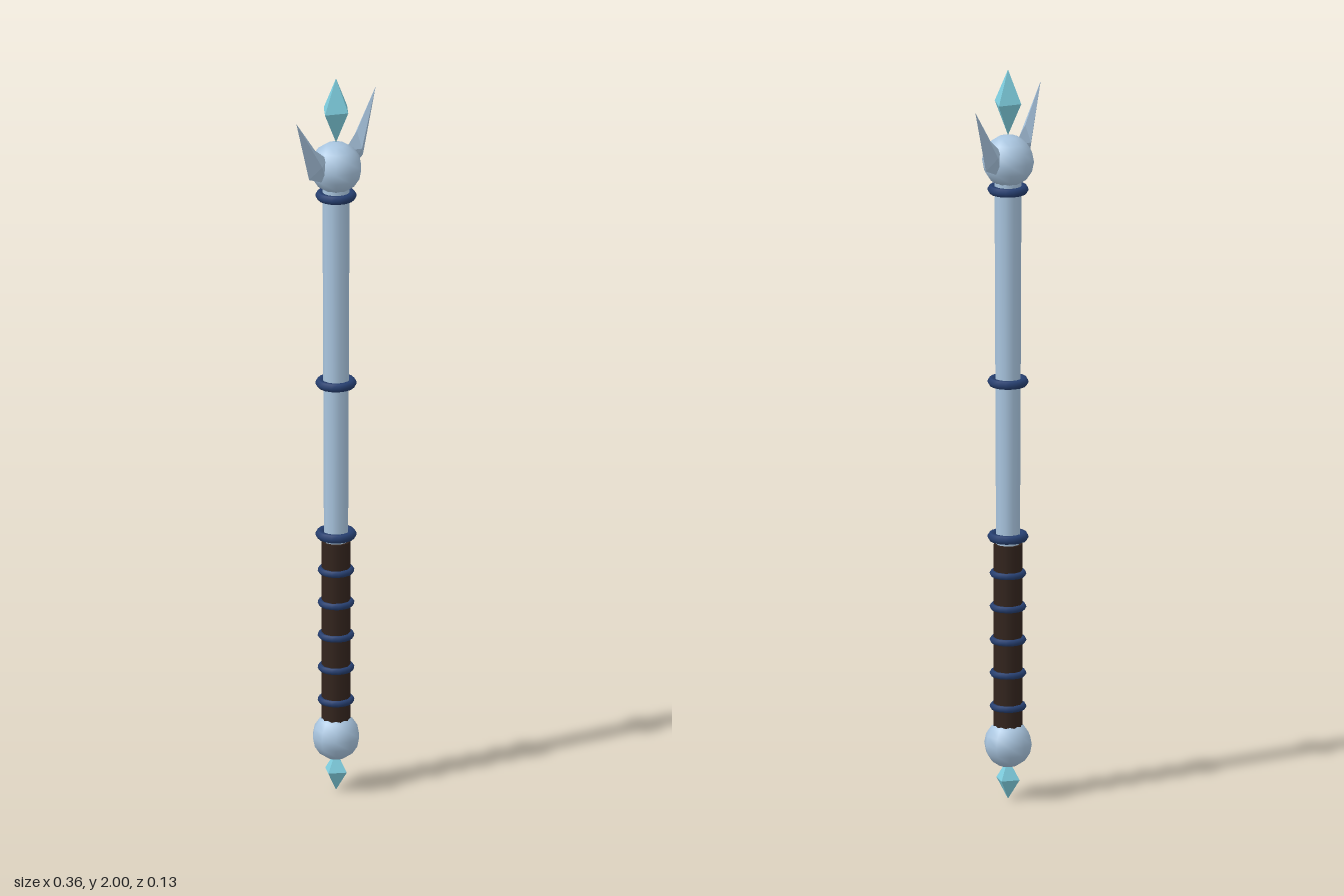
import * as THREE from 'three';

const mat = (color, extra = {}) => new THREE.MeshStandardMaterial({ color, ...extra });

export function createModel() {
  const group = new THREE.Group();
  const steel = mat(0xa9c5df);
  const steelFlat = mat(0xa9c5df, { flatShading: true });
  const leather = mat(0x33241d);
  const navy = mat(0x263f70);
  const crystal = mat(0x7fcfe0, { flatShading: true });

  const add = (name, geometry, material, y = 0) => {
    const mesh = new THREE.Mesh(geometry, material);
    mesh.name = name;
    mesh.position.y = y;
    group.add(mesh);
    return mesh;
  };

  // Shaft, slightly wider at the top, and leather grip
  add('shaft', new THREE.CylinderGeometry(0.036, 0.032, 1.0, 10), steel, 1.2);
  add('grip', new THREE.CylinderGeometry(0.038, 0.038, 0.5, 10), leather, 0.45);

  // Rings around the shaft and the grip
  const ring = (name, y, radius, tube) => {
    add(name, new THREE.TorusGeometry(radius, tube, 6, 16).rotateX(Math.PI / 2), navy, y);
  };
  [0.72, 1.145, 1.672].forEach((y) => ring('shaftRing', y, 0.043, 0.012));
  for (let i = 0; i < 5; i++) ring('gripRing', 0.255 + i * 0.091, 0.04, 0.009);

  // Head and pommel balls
  add('headBall', new THREE.SphereGeometry(0.07, 10, 8), steel, 1.75);
  add('pommelBall', new THREE.SphereGeometry(0.064, 10, 8), steel, 0.152);

  // Crystals: stretched octahedra
  add('topCrystal', new THREE.OctahedronGeometry(1).scale(0.05, 0.09, 0.04), crystal, 1.91);
  add('pommelCrystal', new THREE.OctahedronGeometry(1).scale(0.035, 0.055, 0.035), crystal, 0.055);

  // Wing blades: a flat outline fanned to a raised point on both faces
  const outline = [[0.04, 1.716], [0.122, 1.75], [0.18, 1.925], [0.095, 1.825], [0.04, 1.785]];
  const ridge = [0.09, 1.78];
  for (const side of [1, -1]) {
    const positions = [];
    outline.forEach((a, i) => {
      const b = outline[(i + 1) % outline.length];
      for (const face of [1, -1]) {
        const [p, q] = side * face > 0 ? [a, b] : [b, a];
        positions.push(side * p[0], p[1], 0, side * q[0], q[1], 0,
          side * ridge[0], ridge[1], face * 0.02);
      }
    });
    const geometry = new THREE.BufferGeometry();
    geometry.setAttribute('position', new THREE.Float32BufferAttribute(positions, 3));
    geometry.computeVertexNormals();
    add(side > 0 ? 'leftWing' : 'rightWing', geometry, steelFlat);
  }
  return group;
}
